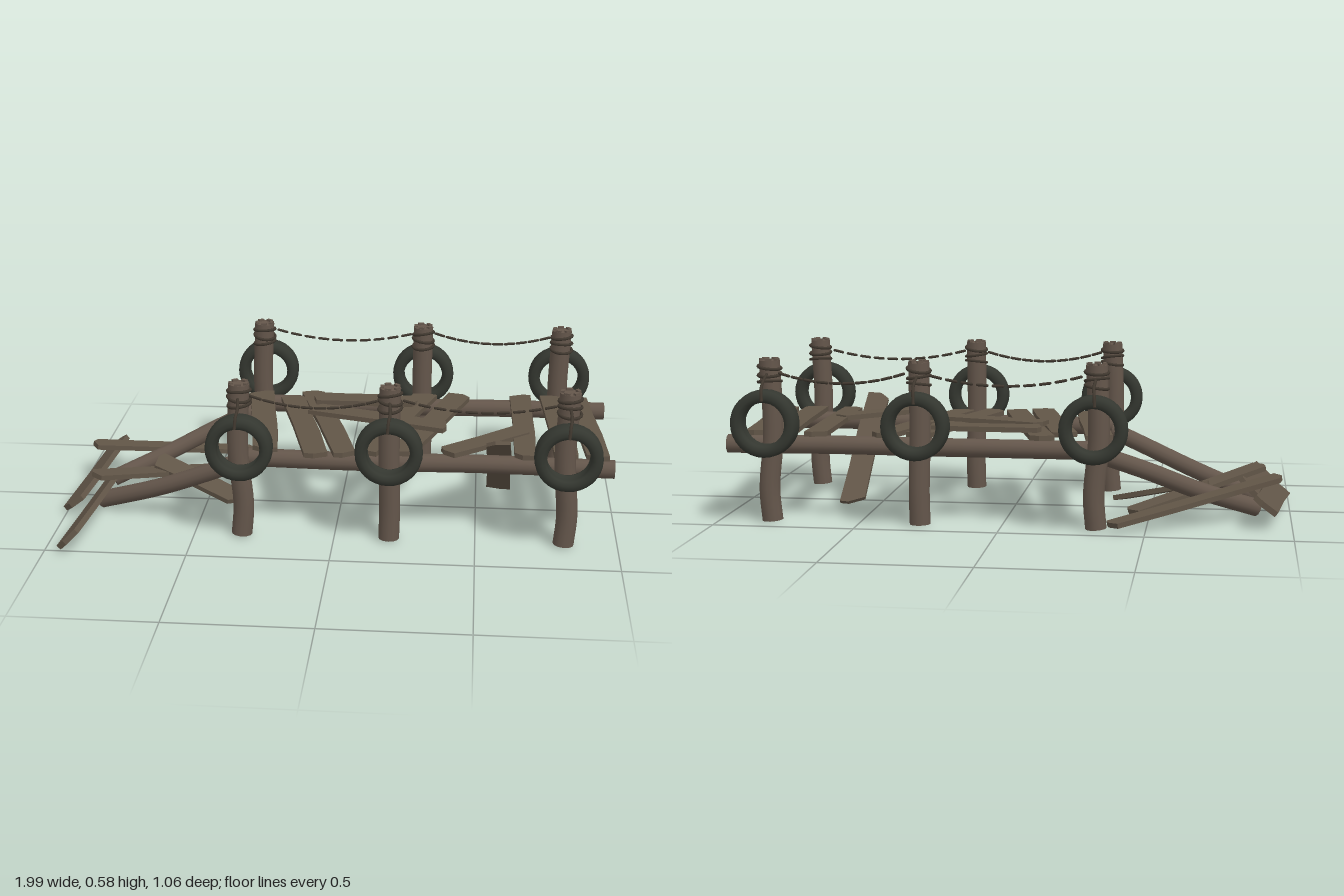
import * as THREE from 'three';

const material = (name, color) => new THREE.MeshStandardMaterial({ name, color });
const V = (p) => new THREE.Vector3(...p);

export function createModel() {
  const model = new THREE.Group();
  model.name = 'brokenDock';
  const plankWood = material('plankWood', 0x615547);
  const logWood = material('logWood', 0x64564b);
  const rubber = material('rubber', 0x343730);
  const ropeFibre = material('ropeFibre', 0x40382f);

  function add(name, geometry, mat, parent = model) {
    const mesh = new THREE.Mesh(geometry, mat);
    mesh.name = name;
    parent.add(mesh);
    return mesh;
  }

  // Round log along a curve, closed by a disc at each end
  function log(name, points, radius, mat = logWood, sides = 12, parent = model) {
    const group = new THREE.Group();
    group.name = name;
    parent.add(group);
    const curve = new THREE.CatmullRomCurve3(points.map(V));
    add(name + 'Body', new THREE.TubeGeometry(curve, points.length * 5, radius, sides), mat, group);
    for (const t of [0, 1]) {
      const cap = add(name + 'End', new THREE.CircleGeometry(radius, sides), mat, group);
      cap.position.copy(curve.getPointAt(t));
      const out = curve.getTangentAt(t).multiplyScalar(t ? 1 : -1);
      cap.quaternion.setFromUnitVectors(new THREE.Vector3(0, 0, 1), out);
    }
  }

  // Board from a to b with split, uneven ends; up is the way its face looks
  function plank(name, a, b, width, thick = 0.018, up = [0, 1, 0], seed = 0) {
    const start = V(a), end = V(b);
    const dir = end.clone().sub(start);
    const L = dir.length() / 2, w = width / 2;
    dir.normalize();
    const side = V(up).cross(dir).normalize();
    const face = dir.clone().cross(side);
    const k = 0.012 * Math.sin(seed * 2.3 + 1);
    const shape = new THREE.Shape([
      [-L + 0.012 + k, -w], [0, -w * 0.92], [L - 0.015 - k, -w], [L, -w * 0.3],
      [L - 0.008 + k, w * 0.85], [L * 0.3, w], [-L * 0.4, w * 0.94], [-L + 0.015 - k, w], [-L, w * 0.3],
    ].map(([x, y]) => new THREE.Vector2(x, y)));
    const geo = new THREE.ExtrudeGeometry(shape, { depth: thick, bevelEnabled: false });
    geo.translate(0, 0, -thick / 2);
    const m = new THREE.Matrix4().makeBasis(dir, side, face);
    m.setPosition(start.add(end).multiplyScalar(0.5));
    geo.applyMatrix4(m);
    add(name, geo, plankWood);
  }

  // Side beams: level along the deck, then broken down to the ground
  log('frontBeam', [[0.98, 0.27, 0.232], [0.5, 0.272, 0.225], [0.1, 0.27, 0.235], [-0.34, 0.27, 0.222]], 0.033);
  log('backBeam', [[0.98, 0.27, -0.36], [0.6, 0.272, -0.352], [0.2, 0.27, -0.345], [-0.36, 0.27, -0.345]], 0.033);
  log('frontFallenBeam', [[-0.32, 0.262, 0.225], [-0.45, 0.205, 0.212], [-0.65, 0.12, 0.172], [-0.88, 0.035, 0.105]], 0.032);
  log('backFallenBeam', [[-0.32, 0.262, -0.345], [-0.5, 0.19, -0.275], [-0.68, 0.11, -0.2], [-0.88, 0.035, -0.1]], 0.032);

  // Deck planks: [x1, z1, x2, z2, width, height]
  [
    [-0.335, -0.34, -0.245, 0.255, 0.095, 0.312],
    [-0.21, -0.29, -0.06, 0.3, 0.09, 0.313],
    [-0.14, -0.36, 0.04, 0.28, 0.085, 0.311],
    [0.30, -0.36, 0.11, 0.255, 0.09, 0.313],
    [0.43, -0.37, 0.23, 0.255, 0.09, 0.311],
    [0.67, 0.0, 0.39, 0.25, 0.085, 0.318],
    [0.66, -0.38, 0.67, 0.255, 0.08, 0.312],
    [0.78, -0.375, 0.815, 0.255, 0.09, 0.313],
    [0.87, -0.37, 0.925, 0.245, 0.085, 0.312],
    [-0.125, -0.25, 0.27, -0.245, 0.09, 0.328],
    [-0.12, -0.135, 0.39, 0.02, 0.085, 0.328],
  ].forEach(([x1, z1, x2, z2, w, y], i) =>
    plank('deckPlank' + (i + 1), [x1, y, z1], [x2, y, z2], w, 0.018, [0, 1, 0], i));

  // Plank fallen through the deck
  plank('fallenThroughPlank', [0.585, 0.025, -0.155], [0.575, 0.37, 0.27], 0.09, 0.014, [0, 1, 0], 3);

  // Collapsed boards at the broken end
  plank('crossBoard', [-0.905, 0.09, -0.35], [-0.965, 0.055, 0.205], 0.095, 0.02, [-0.6, 0.8, 0], 1);
  plank('outerCrossBoard', [-0.855, 0.085, -0.02], [-0.91, 0.06, 0.53], 0.1, 0.02, [-0.7, 0.7, 0], 2);
  plank('backLooseBoard', [-0.96, 0.155, -0.14], [-0.38, 0.03, -0.45], 0.075, 0.018, [0, 1, 0], 4);
  plank('middleLooseBoard', [-0.9, 0.145, 0.14], [-0.44, 0.035, -0.24], 0.08, 0.018, [0, 1, 0], 5);
  plank('frontLooseBoard', [-0.71, 0.12, -0.09], [-0.375, 0.03, 0.05], 0.09, 0.018, [0, 1, 0.15], 6);

  // Tyre cross-section, closed loop from the inner rim around the tread
  const tyreProfile = [
    [0.074, -0.02], [0.078, -0.034], [0.092, -0.04], [0.108, -0.037], [0.116, -0.027], [0.118, 0],
    [0.116, 0.027], [0.108, 0.037], [0.092, 0.04], [0.078, 0.034], [0.074, 0.02], [0.08, 0], [0.074, -0.02],
  ].map(([r, y]) => new THREE.Vector2(r, y));
  const tyreGeo = new THREE.LatheGeometry(tyreProfile, 32).rotateX(Math.PI / 2);

  // Rope strung between two posts, drawn as a row of separate links
  function ropeSpan(name, x1, x2, z) {
    const group = new THREE.Group();
    group.name = name;
    model.add(group);
    const curve = new THREE.QuadraticBezierCurve3(
      V([x1, 0.54, z]), V([(x1 + x2) / 2, 0.465, z]), V([x2, 0.535, z]));
    const count = 10;
    for (let i = 0; i < count; i++) {
      const t = (i + 0.5) / count;
      const link = add('ropeLink', new THREE.CapsuleGeometry(0.005, 0.034, 3, 6), ropeFibre, group);
      link.position.copy(curve.getPointAt(t));
      link.quaternion.setFromUnitVectors(new THREE.Vector3(0, 1, 0), curve.getTangentAt(t));
    }
  }

  // Two rows of posts, each with rope binding and a hanging tyre
  const rows = [
    { row: 'front', s: 1, z: 0.303, tyreZ: 0.368, ropeZ: 0.328, xs: [-0.33, 0.195, 0.81] },
    { row: 'back', s: -1, z: -0.407, tyreZ: -0.48, ropeZ: -0.443, xs: [-0.33, 0.283, 0.81] },
  ];
  for (const { row, s, z, tyreZ, ropeZ, xs } of rows) {
    xs.forEach((x, i) => {
      const id = row + 'Post' + (i + 1);
      const bend = i === 1 ? 0.002 : 0.008;
      log(id, [[x, 0.01, z], [x + bend, 0.12, z - 0.002], [x - bend, 0.32, z + 0.002], [x, 0.575, z]], 0.037);

      // Splintered top
      [0, 1, 2, 3, 4].forEach((k) => {
        const a = k * 1.257 + i;
        const chip = add(id + 'Splinter', new THREE.BoxGeometry(0.022, 0.02, 0.012), logWood);
        chip.position.set(x + 0.028 * Math.sin(a), 0.572, z + 0.028 * Math.cos(a));
        chip.rotation.y = a;
      });

      // Rope binding
      [0.5, 0.525, 0.55].forEach((y, k) => {
        const coil = add(id + 'Binding', new THREE.TorusGeometry(0.04, 0.0055, 6, 20), ropeFibre);
        coil.position.set(x, y, z);
        coil.rotation.set(Math.PI / 2 + 0.16 * Math.sin(k * 2 + i), 0.16 * Math.cos(k * 2.5 + i), 0);
      });

      const tyre = add(row + 'Tyre' + (i + 1), tyreGeo, rubber);
      tyre.position.set(x + (i === 0 ? 0.005 : 0), 0.363, tyreZ);

      // Rope from the binding over the tyre
      log(row + 'TyreRope' + (i + 1), [
        [x, 0.53, z + s * 0.035], [x + 0.004, 0.505, z + s * 0.075],
        [x, 0.485, tyreZ + s * 0.035], [x - 0.003, 0.445, tyreZ + s * 0.046],
      ], 0.0055, ropeFibre, 6);
    });
    ropeSpan(row + 'RopeLeft', xs[1] + 0.04, xs[2] - 0.04, ropeZ);
    ropeSpan(row + 'RopeRight', xs[0] + 0.04, xs[1] - 0.04, ropeZ);
  }
  return model;
}
